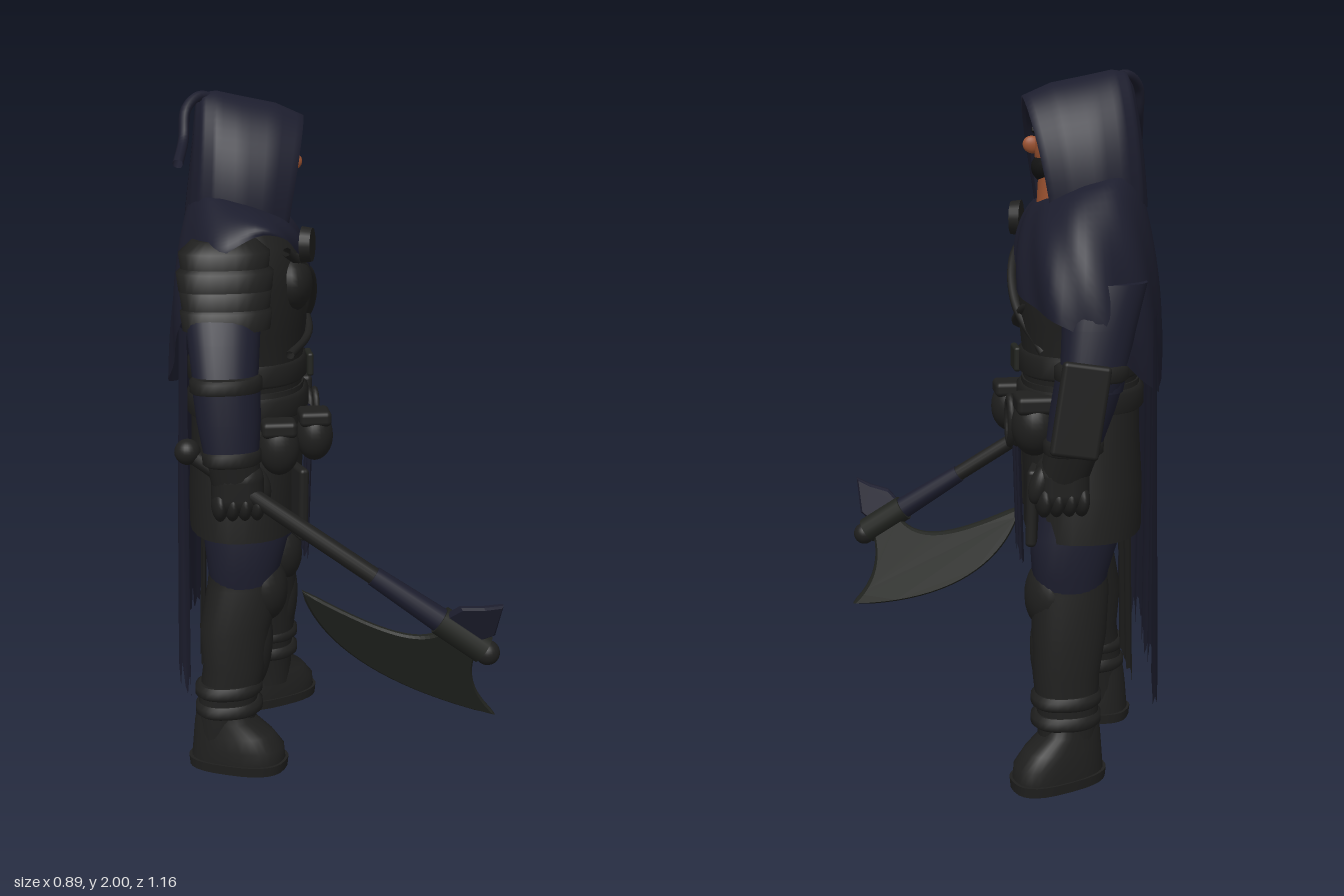
import * as THREE from 'three';
import { RoundedBoxGeometry } from 'three/addons/geometries/RoundedBoxGeometry.js';

const material = (name, color, side = THREE.FrontSide) => {
  const m = new THREE.MeshStandardMaterial({ color, side });
  m.name = name;
  return m;
};

export function createModel() {
  const root = new THREE.Group();
  root.name = 'hoodedAxeman';
  const leather = material('dark leather', 0x1f1f1e, THREE.DoubleSide);
  const cloth = material('navy cloth', 0x1c1d2d, THREE.DoubleSide);
  const skin = material('skin', 0x9c5230);
  const hair = material('black hair', 0x141414);
  const steel = material('dark steel', 0x21231f);

  const add = (name, geo, mat, pos = [0, 0, 0], rot = [0, 0, 0], scale = [1, 1, 1], parent = root) => {
    const m = new THREE.Mesh(geo, mat);
    m.name = name;
    m.position.set(...pos);
    m.rotation.set(...rot);
    m.scale.set(...scale);
    parent.add(m);
    return m;
  };

  // surface from a grid of points: f(u, v) gives [x, y, z]; closed joins u ends
  const grid = (cols, rows, f, closed = false) => {
    const pos = [], idx = [], w = closed ? cols : cols + 1;
    for (let r = 0; r <= rows; r++) for (let c = 0; c < w; c++) pos.push(...f(c / cols, r / rows));
    for (let r = 0; r < rows; r++) for (let c = 0; c < cols; c++) {
      const a = r * w + c, b = r * w + (c + 1) % w, d = a + w, e = b + w;
      idx.push(a, d, b, b, d, e);
    }
    const g = new THREE.BufferGeometry();
    g.setAttribute('position', new THREE.Float32BufferAttribute(pos, 3));
    g.setIndex(idx);
    g.computeVertexNormals();
    return g;
  };

  // smooth lookup in a short list of sections
  const sample = (sections, t) => {
    const k = t * (sections.length - 1), i = Math.min(Math.floor(k), sections.length - 2), f = k - i;
    return sections[i].map((v, n) => v + (sections[i + 1][n] - v) * f);
  };
  const bend = (v, power) => Math.sign(v) * Math.abs(v) ** power;

  // capped stack of rounded rings, bottom to top: [x, y, z, rx, rz]
  const loft = (sections, power = 0.85) => {
    const first = sections[0], last = sections[sections.length - 1];
    const all = [[...first.slice(0, 3), 0, 0], first, ...sections, last, [...last.slice(0, 3), 0, 0]];
    return grid(28, all.length - 1, (u, v) => {
      const [x, y, z, rx, rz] = all[Math.round(v * (all.length - 1))];
      const a = u * Math.PI * 2, dz = rz * bend(Math.sin(a), power);
      return [x + rx * bend(Math.cos(a), power) - 0.1 * dz, y, z + dz];
    }, true);
  };
  const ball = new THREE.SphereGeometry(1, 24, 16);
  const box = (x, y, z, r = 0.02) => new RoundedBoxGeometry(x, y, z, 3, r);
  const path = (pts, r, n = 24) => new THREE.TubeGeometry(
    new THREE.CatmullRomCurve3(pts.map((p) => new THREE.Vector3(...p))), n, r, 8);

  // torso, tunic and belts
  add('torso', loft([[-0.2, 1.05, -0.14, 0.165, 0.205], [-0.2, 1.2, -0.14, 0.165, 0.21], [-0.2, 1.32, -0.14, 0.178, 0.235],
    [-0.2, 1.46, -0.14, 0.182, 0.255], [-0.21, 1.57, -0.14, 0.165, 0.25], [-0.21, 1.64, -0.14, 0.1, 0.15]]), leather);
  add('tunic', loft([[-0.21, 0.72, -0.14, 0.172, 0.28], [-0.21, 0.85, -0.14, 0.172, 0.27],
    [-0.2, 1.0, -0.14, 0.172, 0.24], [-0.2, 1.15, -0.14, 0.17, 0.215]]), leather);
  for (const [y, r] of [[1.2, 0.18], [1.1, 0.184]]) {
    add('belt', loft([-0.035, -0.025, 0.025, 0.035].map((d, i) =>
      [-0.2, y + d, -0.14, r - (i % 3 ? 0 : 0.012), r + 0.045 - (i % 3 ? 0 : 0.012)])), leather);
  }
  add('buckle', box(0.02, 0.07, 0.09, 0.008), steel, [-0.015, 1.2, -0.13]);
  for (const s of [-1, 1]) {
    add('chestPlate', ball, leather, [-0.085, 1.46, -0.14 + s * 0.1], [0, 0, 0], [0.07, 0.09, 0.11]);
    add('skirtPanel', box(0.03, 0.22, 0.16, 0.012), leather, [-0.06 - s * 0.015, 0.82, -0.14 + s * 0.17], [0, s * 0.25, -s * 0.02]);
  }
  add('chestStrap', path([[-0.1, 1.56, 0.06], [-0.02, 1.48, -0.05], [-0.01, 1.36, -0.17], [-0.07, 1.24, -0.31]], 0.014), leather);
  add('waistStrap', path([[-0.09, 1.26, 0.05], [-0.02, 1.3, -0.1], [-0.03, 1.36, -0.24], [-0.11, 1.42, -0.36]], 0.013), leather);

  // ragged tabard and back flap hanging from the belt
  const tooth = (i) => Math.abs(Math.sin(i * 12.9898) * 43.7585) % 1;
  const flap = (x, top, drop, z, width) => grid(12, 6, (u, v) => [x - 0.015 * v + 0.006 * Math.sin(u * 15),
    top - v * (drop + 0.07 * tooth(u * 12 + 3)), z - u * width]);
  add('tabard', flap(-0.018, 1.07, 0.42, -0.03, 0.16), cloth);
  add('backFlap', flap(-0.34, 0.8, 0.5, -0.03, 0.2), leather);

  // pouches and rope on the belt
  const pouch = (x, y, z, sx, sy, sz) => {
    add('pouch', ball, leather, [x, y, z], [0, 0, 0], [sx, sy, sz]);
    add('pouchFlap', box(sx * 1.7, sy * 0.6, sz * 1.7, 0.015), leather, [x, y + sy * 0.75, z]);
  };
  pouch(-0.02, 1.02, 0.05, 0.055, 0.075, 0.06);
  pouch(-0.045, 1.04, -0.31, 0.065, 0.085, 0.07);
  pouch(-0.13, 1.0, 0.11, 0.06, 0.08, 0.05);
  for (const d of [0, 0.02]) {
    add('ropeLoop', new THREE.TorusGeometry(0.042, 0.011, 8, 24), leather, [-0.01 + d, 1.03, -0.185 - d / 2], [0, Math.PI / 2, 0], [1, 1.5, 1]);
  }

  // legs: s is the side; h hip, k knee, a ankle as [x, z]
  const leg = (s, h, k, a) => {
    add('trouserLeg', loft([[k[0] - 0.02, 0.5, k[1], 0.09, 0.085], [k[0] - 0.02, 0.62, k[1], 0.11, 0.1],
      [(h[0] + k[0]) / 2, 0.72, (h[1] + k[1]) / 2, 0.13, 0.115], [h[0], 0.85, h[1], 0.135, 0.12]]), cloth);
    add('boot', loft([[a[0], 0.08, a[1], 0.085, 0.075], [a[0], 0.2, a[1], 0.088, 0.075],
      [(a[0] * 2 + k[0]) / 3, 0.32, (a[1] * 2 + k[1]) / 3, 0.097, 0.083], [(a[0] + k[0]) / 2 - 0.01, 0.44, (a[1] + k[1]) / 2, 0.108, 0.09],
      [k[0] - 0.02, 0.56, k[1], 0.112, 0.095], [k[0] - 0.02, 0.6, k[1], 0.107, 0.092]]), leather);
    add('kneePad', ball, leather, [k[0] + 0.035, 0.55, k[1]], [0, 0, 0.1], [0.075, 0.11, 0.09]);
    add('shinGuard', ball, leather, [(a[0] + k[0]) / 2 + 0.04, 0.36, (a[1] + k[1]) / 2], [0, 0, -0.12], [0.06, 0.15, 0.065]);
    for (const y of [0.19, 0.25]) {
      add('bootCuff', loft([-0.02, -0.01, 0.01, 0.02].map((d, i) =>
        [a[0] + 0.005, y + d, a[1], i % 3 ? 0.102 : 0.09, i % 3 ? 0.089 : 0.078])), leather);
    }
    const foot = new THREE.Group();
    foot.name = 'foot';
    foot.position.set(a[0] + 0.03, 0, a[1] + s * 0.022);
    foot.rotation.y = -s * 0.4;
    root.add(foot);
    add('sole', loft([[0, 0, 0, 0.147, 0.085], [0, 0.03, 0, 0.15, 0.088]], 0.75), leather, [0, 0, 0], [0, 0, 0], [1, 1, 1], foot);
    add('shoe', loft([[0, 0.03, 0, 0.142, 0.083], [0, 0.07, 0, 0.138, 0.082], [-0.015, 0.11, 0, 0.12, 0.074],
      [-0.04, 0.15, 0, 0.09, 0.068], [-0.045, 0.2, 0, 0.075, 0.062]], 0.8), leather, [0, 0, 0], [0, 0, 0], [1, 1, 1], foot);
  };
  leg(1, [-0.23, -0.01], [-0.21, 0.03], [-0.29, 0.08]);
  leg(-1, [-0.2, -0.27], [-0.13, -0.3], [-0.14, -0.34]);

  // arms: u upper arm, e elbow, w wrist, f fist
  const arm = (u, e, w, f) => {
    add('sleeve', loft([[e[0], e[1] - 0.05, e[2], 0.085, 0.07], [...u.map((v, i) => (v + e[i]) / 2), 0.1, 0.083], [...u, 0.11, 0.085]]), cloth);
    add('bracer', loft([[...w, 0.075, 0.06], [...w.map((v, i) => (v + e[i]) / 2), 0.088, 0.072], [...e, 0.094, 0.077]]), cloth);
    for (const [p, rx, rz] of [[w, 0.082, 0.067], [e, 0.1, 0.082]]) {
      add('bracerRim', loft([-0.022, -0.014, 0.014, 0.022].map((d, i) =>
        [p[0], p[1] + d, p[2], rx - (i % 3 ? 0 : 0.01), rz - (i % 3 ? 0 : 0.01)])), leather);
    }
    add('gloveCuff', loft([[...f, 0.068, 0.058], [w[0], w[1], w[2], 0.075, 0.06]]), leather);
    add('fist', box(0.145, 0.15, 0.12, 0.05), leather, f);
    for (let i = 0; i < 4; i++) add('finger', ball, leather, [f[0] - 0.05 + i * 0.034, f[1] - 0.045, f[2]], [0, 0, 0], [0.024, 0.05, 0.066]);
    add('thumb', ball, leather, [f[0] + 0.065, f[1], f[2] - 0.02], [0, 0, 0.3], [0.027, 0.055, 0.03]);
  };
  arm([-0.29, 1.45, 0.15], [-0.29, 1.235, 0.285], [-0.28, 1.04, 0.32], [-0.265, 0.95, 0.315]);
  arm([-0.22, 1.45, -0.42], [-0.17, 1.22, -0.485], [-0.125, 1.02, -0.48], [-0.1, 0.915, -0.455]);
  add('bracerPlate', box(0.13, 0.25, 0.03, 0.012), leather, [-0.13, 1.13, -0.557], [0.04, 0, 0.15]);

  // layered shoulder armour on the weapon arm
  for (let i = 0; i < 4; i++) {
    const y = 1.37 + i * 0.052, z = 0.185 - i * 0.015, r = 0.118 + (i === 2 ? 0.012 : 0.004);
    add('shoulderPlate', loft([[-0.28, y, z, r, r * 0.68], [-0.28, y + 0.05, z - 0.01, r + 0.006, r * 0.72],
      [-0.28, y + 0.08, z - 0.03, r * 0.75, r * 0.5]]), leather);
  }
  add('clasp', new THREE.CylinderGeometry(0.048, 0.052, 0.03, 20), leather, [-0.04, 1.58, 0.055], [0, -0.3, -Math.PI / 2]);

  // shoulder mantle with a slanting hem
  add('mantle', grid(64, 16, (u, v) => {
    const a = u * Math.PI * 2, c = Math.cos(a), s = Math.sin(a), t = Math.sin(v * Math.PI / 2) ** 0.8;
    const hem = 1.375 - 0.075 * Math.cos(2 * a) + 0.15 * c + 0.15 * s;
    const top = 1.7 - 0.05 * c, fold = 0.008 * v * Math.sin(a * 9 + v * 5);
    const rx = 0.12 + (c > 0 ? 0.08 : 0.1) * t + fold, rz = 0.16 + (s > 0 ? 0.185 : 0.23) * t + fold;
    const z = rz * bend(s, 0.88);
    return [-0.21 + rx * bend(c, 0.88) - 0.1 * z, top + (hem - top) * v ** 1.25, -0.14 + z];
  }, true), cloth);

  // long ragged cape, wrapping forward on the free arm's side
  add('cape', grid(56, 14, (u, v) => {
    const e = Math.abs(u * 2 - 1), low = 0.27 + 0.13 * tooth(Math.floor(u * 28) + (u * 56 % 2 > 0.9 ? 40 : 7));
    const z = 0.16 + 0.11 * v - u * (0.66 + 0.15 * v);
    return [-0.41 - 0.015 * v - 0.1 * Math.min(z, 0.1) + 0.03 * e ** 4 + 0.008 * v * Math.sin(u * 32), 1.36 + (low - 1.36) * v, z];
  }), cloth);

  // head, face and mask
  add('neck', loft([[-0.155, 1.58, -0.13, 0.085, 0.085], [-0.15, 1.76, -0.13, 0.07, 0.07]]), skin);
  add('head', ball, skin, [-0.165, 1.79, -0.13], [0, 0, 0], [0.1, 0.125, 0.09]);
  add('hairCap', ball, hair, [-0.18, 1.875, -0.13], [0, 0, 0], [0.1, 0.065, 0.1]);
  add('nose', ball, skin, [-0.06, 1.797, -0.13], [0, 0, 0.3], [0.027, 0.024, 0.014]);
  add('beard', ball, hair, [-0.14, 1.735, -0.13], [0, 0, 0], [0.083, 0.055, 0.085]);
  for (const s of [-1, 1]) {
    add('brow', box(0.02, 0.014, 0.045, 0.004), hair, [-0.076, 1.835, -0.13 + s * 0.037], [s * 0.15, -s * 0.3, 0]);
    add('eye', ball, hair, [-0.077, 1.817, -0.13 + s * 0.035], [0, 0, 0], [0.008, 0.006, 0.012]);
  }

  // hood: arches from the inner lining, over the rim, to the back, as [x, top, half width, lean]
  const arches = [[-0.17, 1.87, 0.11, 0], [-0.09, 1.895, 0.115, 0.045], [-0.08, 1.93, 0.15, 0.05], [-0.14, 1.965, 0.175, 0.03],
    [-0.21, 1.985, 0.182, 0], [-0.28, 2.0, 0.172, 0], [-0.32, 1.995, 0.145, 0], [-0.34, 1.96, 0.09, 0], [-0.345, 1.9, 0.01, 0]];
  add('hood', grid(32, 32, (u, v) => {
    const [x, top, hw, lean] = sample(arches, v), a = u * Math.PI, c = Math.cos(a), s = Math.sin(a);
    return [x + lean * s - 0.035 * (1 - s) * v, 1.63 + (top - 1.63) * s ** 0.9, -0.13 + hw * bend(c, 1.3)];
  }), cloth);
  add('hoodTail', path([[-0.28, 1.975, -0.13], [-0.33, 1.985, -0.11], [-0.37, 1.95, -0.07], [-0.38, 1.87, -0.03], [-0.4, 1.81, 0.065]], 0.015), cloth);

  // axe, drawn flat and then leaned sideways
  const lean = (x, y) => 0.5 * x + 0.4 * y + 0.092;
  const leanGeo = (g) => {
    const p = g.attributes.position;
    for (let i = 0; i < p.count; i++) p.setZ(i, p.getZ(i) + lean(p.getX(i), p.getY(i)));
    g.computeVertexNormals();
    return g;
  };
  const rod = (name, x0, y0, x1, y1, r0, r1, mat) => {
    const a = new THREE.Vector3(x0, y0, lean(x0, y0)), b = new THREE.Vector3(x1, y1, lean(x1, y1));
    const m = add(name, new THREE.CylinderGeometry(r1, r0, a.distanceTo(b), 14), mat);
    m.position.copy(a).add(b).multiplyScalar(0.5);
    m.quaternion.setFromUnitVectors(new THREE.Vector3(0, 1, 0), b.sub(a).normalize());
  };
  rod('axeShaft', -0.41, 1.06, 0.4, 0.51, 0.022, 0.026, leather);
  rod('axeGrip', 0.1, 0.714, 0.3, 0.578, 0.028, 0.036, cloth);
  rod('axeSocket', 0.28, 0.592, 0.4, 0.51, 0.042, 0.042, steel);
  add('axePommel', ball, leather, [-0.4, 1.055, lean(-0.4, 1.055)], [0, 0, 0], [0.036, 0.036, 0.036]);
  add('axeCap', ball, leather, [0.41, 0.5, lean(0.41, 0.5)], [0, 0, 0], [0.035, 0.035, 0.035]);
  const blade = new THREE.Shape();
  blade.moveTo(-0.08, 0.625);
  blade.bezierCurveTo(-0.03, 0.47, 0.13, 0.33, 0.445, 0.285);
  blade.quadraticCurveTo(0.35, 0.38, 0.375, 0.5);
  blade.lineTo(0.3, 0.56);
  blade.bezierCurveTo(0.24, 0.49, 0.14, 0.51, -0.08, 0.625);
  const spike = new THREE.Shape([[0.29, 0.6], [0.36, 0.53], [0.415, 0.57], [0.425, 0.665], [0.385, 0.65], [0.33, 0.64]]
    .map((p) => new THREE.Vector2(...p)));
  const plate = (shape) => leanGeo(new THREE.ExtrudeGeometry(shape, { depth: 0.014, bevelEnabled: true, bevelSize: 0.006,
    bevelThickness: 0.01, bevelSegments: 1, curveSegments: 20 }).translate(0, 0, -0.007));
  add('axeBlade', plate(blade), steel);
  add('axeSpike', plate(spike), cloth);
  return root;
}
